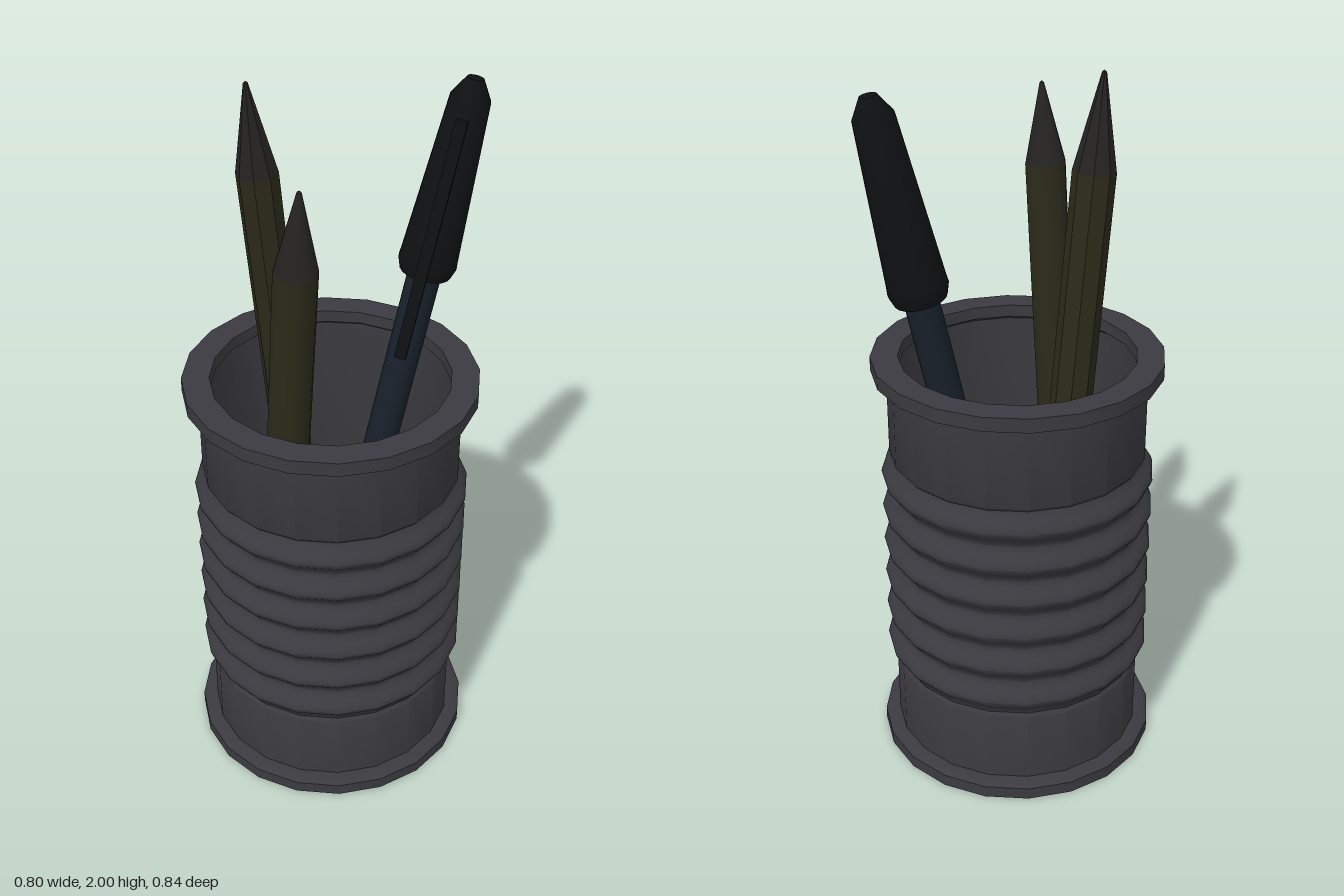
import * as THREE from 'three';
import { toCreasedNormals } from 'three/addons/utils/BufferGeometryUtils.js';

const mat = (color) => new THREE.MeshStandardMaterial({ color, side: THREE.DoubleSide });
const METAL = mat(0x3a3a40);
const WOOD = mat(0x2b2a1a);
const TIP = mat(0x252320);
const FERRULE = mat(0x1c2024);
const ERASER = mat(0x4a241c);
const BARREL = mat(0x18202a);
const CAP = mat(0x0e1012);

// Revolved part from [radius, height] pairs
function turned(name, profile, sides, material, crease = 0.7) {
  const points = profile.map(([r, y]) => new THREE.Vector2(r, y));
  const geometry = toCreasedNormals(new THREE.LatheGeometry(points, sides), crease);
  const mesh = new THREE.Mesh(geometry, material);
  mesh.name = name;
  return mesh;
}

// Group whose local y axis runs from one point to another
function leaning(name, from, to) {
  const group = new THREE.Group();
  group.name = name;
  const a = new THREE.Vector3(...from);
  const axis = new THREE.Vector3(...to).sub(a);
  group.userData.length = axis.length();
  group.position.copy(a);
  group.quaternion.setFromUnitVectors(new THREE.Vector3(0, 1, 0), axis.normalize());
  return group;
}

// Open tin with flanges at both ends and six rolled ridges
function createTin() {
  const profile = [[0.36, 0], [0.4, 0], [0.4, 0.035], [0.385, 0.045], [0.358, 0.045]];
  const first = 0.32, pitch = 0.109, ridges = 6, steps = 8;
  const start = first - pitch / 2;
  profile.push([0.358, start - 0.01]);
  for (let i = 0; i <= ridges * steps; i++) {
    const wave = Math.cos((i / steps - 0.5) * Math.PI * 2);
    profile.push([0.366 + 0.016 * wave, start + (i / steps) * pitch]);
  }
  profile.push([0.358, start + ridges * pitch + 0.01]);
  profile.push([0.358, 1.175], [0.4, 1.175], [0.4, 1.215], [0.325, 1.215]);
  profile.push([0.325, 1.18], [0.338, 1.17], [0.338, 0.045], [0.36, 0]);
  const tin = turned('tin', profile, 20, METAL);
  tin.position.z = 0.02;
  return tin;
}

// Pencil with sharpened end and optional ferrule and eraser
function createPencil(name, from, to, sides, cone, hasEraser) {
  const pencil = leaning(name, from, to);
  const top = pencil.userData.length;
  const r = 0.056;
  const bottom = hasEraser ? 0.19 : 0;
  pencil.add(turned('shaft', [[0, bottom], [r, bottom], [r, top - cone]], sides, WOOD, 0.6));
  pencil.add(turned('sharpenedTip', [[r, top - cone], [0.006, top - 0.005], [0, top]], sides, TIP, 0.6));
  if (hasEraser) {
    pencil.add(turned('eraser', [[0, 0], [0.045, 0], [0.05, 0.008], [0.05, 0.14]], 16, ERASER));
    pencil.add(turned('ferrule', [[0, 0.13], [0.058, 0.13], [0.064, 0.14], [0.064, 0.19], [0.056, 0.2]], 16, FERRULE));
  }
  return pencil;
}

// Capped pen with pocket clip
function createPen() {
  const pen = leaning('pen', [-0.08, 0, 0.05].map((v, i) => [-0.08, 0.05, 0.0][i]), [0.08, 1.975, -0.381]);
  const top = pen.userData.length;
  pen.add(turned('barrel', [[0, 0], [0.046, 0], [0.046, 1.5]], 20, BARREL));
  pen.add(turned('cap', [
    [0.045, 1.42], [0.07, 1.42], [0.08, 1.45], [0.078, 1.47],
    [0.053, top - 0.06], [0.022, top - 0.008], [0, top - 0.005],
  ], 20, CAP));
  const clip = new THREE.Mesh(new THREE.BoxGeometry(0.032, 0.68, 0.02), CAP);
  clip.name = 'clip';
  clip.position.set(0, 1.53, 0.075);
  const clipSide = new THREE.Group();
  clipSide.name = 'clipSide';
  clipSide.rotation.y = 0.64;
  clipSide.add(clip);
  pen.add(clipSide);
  return pen;
}

export function createModel() {
  const model = new THREE.Group();
  model.name = 'pencilHolder';
  model.add(createTin());
  model.add(createPencil('tallPencil', [-0.2, 0.045, -0.08], [-0.2, 2, 0.122], 8, 0.25, false));
  model.add(createPencil('shortPencil', [0.005, 0.04, 0.24], [0.16, 1.885, 0.24], 12, 0.22, true));
  model.add(createPen());
  return model;
}
